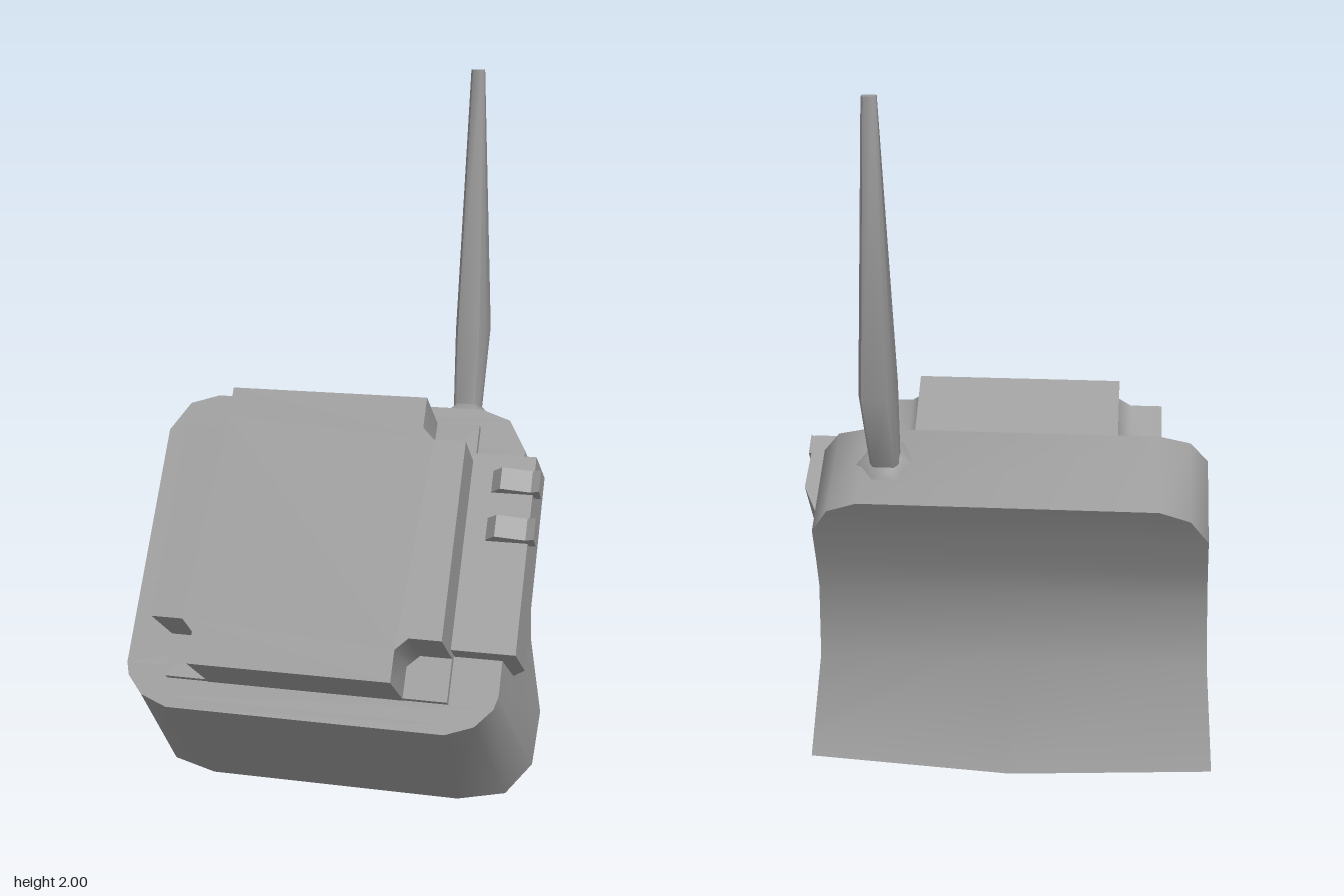
import * as THREE from 'three';
import { toCreasedNormals } from 'three/addons/utils/BufferGeometryUtils.js';

const material = new THREE.MeshStandardMaterial({ color: 0x9a9a9a });

function add(parent, name, geometry, x = 0, y = 0, z = 0) {
  const mesh = new THREE.Mesh(geometry, material);
  mesh.name = name;
  mesh.position.set(x, y, z);
  parent.add(mesh);
  return mesh;
}

function fromQuads(quads, crease) {
  const p = [];
  for (const [a, b, c, d] of quads) p.push(...a, ...b, ...c, ...a, ...c, ...d);
  const g = new THREE.BufferGeometry();
  g.setAttribute('position', new THREE.Float32BufferAttribute(p, 3));
  return toCreasedNormals(g, crease);
}

// Right half of the front outline and the matching back outline, top to bottom
function bodyGeometry() {
  const front = [[.38, .453], [.46, .425], [.51, .34], [.51, .2], [.51, .08], [.51, -.1],
    [.51, -.34], [.5, -.375], [.455, -.425], [.38, -.453]].map(([x, y]) => [x, y, 0]);
  const back = [[.38, .498, -.253], [.46, .457, -.254], [.51, .36, -.258], [.515, .231, -.274],
    [.52, .118, -.292], [.53, -.084, -.4], [.55, -.242, -.634],
    [.55, -.41, -.559], [.49, -.51, -.494], [.36, -.543, -.472]];
  const m = ([x, y, z]) => [-x, y, z];
  // The lower back edge sags towards its middle
  const middle = back.map(([, y, z], i) => (i === 6 ? [0, -.262, -.656] : [0, y, z]));
  const n = front.length - 1;
  const quads = [
    [m(front[0]), front[0], back[0], m(back[0])],
    [front[n], m(front[n]), m(back[n]), back[n]],
  ];
  for (let i = 0; i < n; i++) {
    const [f, g, b, c] = [front[i], front[i + 1], back[i], back[i + 1]];
    const [p, q] = [middle[i], middle[i + 1]];
    quads.push([f, g, c, b], [m(b), m(c), m(g), m(f)]);    // sides
    quads.push([f, m(f), m(g), g]);                        // front
    quads.push([p, b, c, q], [m(b), p, q, m(c)]);          // back and underside
  }
  return fromQuads(quads, 0.9);
}

// Square plate with a notch, bevelled on the inside, at every corner
function notchedShape(h, notch, bevel) {
  const i = h - notch;
  const corner = [[h, i], [i + bevel, i], [i, i + bevel], [i, h]];
  const pts = [];
  for (let k = 0; k < 4; k++) {
    const a = k * Math.PI / 2, c = Math.cos(a), s = Math.sin(a);
    for (const [x, y] of corner) pts.push(new THREE.Vector2(x * c - y * s, x * s + y * c));
  }
  return new THREE.Shape(pts);
}

// Profile of [x, z] points, listed clockwise from above, extruded upwards and centred on y = 0
function extrudeUp(points, height) {
  const shape = new THREE.Shape(points.map(([x, z]) => new THREE.Vector2(x, -z)));
  return new THREE.ExtrudeGeometry(shape, { depth: height, bevelEnabled: false })
    .rotateX(-Math.PI / 2).translate(0, -height / 2, 0);
}

// Blade-like antenna: eight-sided sections of [y, z, half width, half depth]
function antennaGeometry() {
  const sections = [[1.05, -.3, .037, .034], [1.28, -.371, .043, .083], [2, -.365, .018, .012]];
  const outline = [[.7, 1], [1, .5], [1, -.5], [.7, -1], [-.7, -1], [-1, -.5], [-1, .5], [-.7, 1]];
  const rings = sections.map(([y, z, rx, rz]) => outline.map(([a, b]) => [a * rx, y, z + b * rz]));
  const quads = [];
  for (let s = 0; s < 2; s++) {
    for (let k = 0; k < 8; k++) {
      const j = (k + 1) % 8;
      quads.push([rings[s][k], rings[s][j], rings[s + 1][j], rings[s + 1][k]]);
    }
  }
  const tip = rings[2];
  for (const k of [1, 3, 5]) quads.push([tip[0], tip[k], tip[k + 1], tip[k + 2]]);
  return fromQuads(quads, 1.2);
}

export function createModel() {
  const model = new THREE.Group();
  model.name = 'wristDevice';

  // Everything but the antenna sits in the plane of the tilted front face
  const tilted = new THREE.Group();
  tilted.name = 'tiltedUnit';
  tilted.position.set(0, 0.715, 0.075);
  tilted.rotation.x = -0.597;
  model.add(tilted);

  add(tilted, 'body', bodyGeometry(), -0.012);

  // Raised front block on its square base
  add(tilted, 'frontBase', new THREE.BoxGeometry(0.77, 0.77, 0.04), -0.015, 0.012, 0.005);
  const block = new THREE.ExtrudeGeometry(notchedShape(0.385, 0.117, 0.032),
    { depth: 0.21, bevelEnabled: false });
  add(tilted, 'frontBlock', toCreasedNormals(block, 0.9), -0.015, 0.011, 0);

  // Side panel, tapering into the body at the back, with two bevelled buttons
  add(tilted, 'sidePanel', extrudeUp([[.372, .073], [.54, .073], [.547, -.09], [.503, -.178],
    [.372, -.178]], 0.542), 0, 0.026, 0);
  for (const [u, w] of [[0.22, 0], [0.085, 0.008]]) {
    add(tilted, 'button', extrudeUp([[.43, .075], [.457, .108], [.537, .092], [.56, .105],
      [.56, .045], [.43, .045]], 0.06), 0, u, w);
  }

  // Antenna with a six-sided foot
  const foot = new THREE.CylinderGeometry(0.042, 0.078, 0.04, 6).rotateY(Math.PI / 6);
  add(tilted, 'antennaFoot', toCreasedNormals(foot, 1.1), 0.307, 0.486, -0.119);
  add(model, 'antenna', antennaGeometry(), 0.307);

  return model;
}
